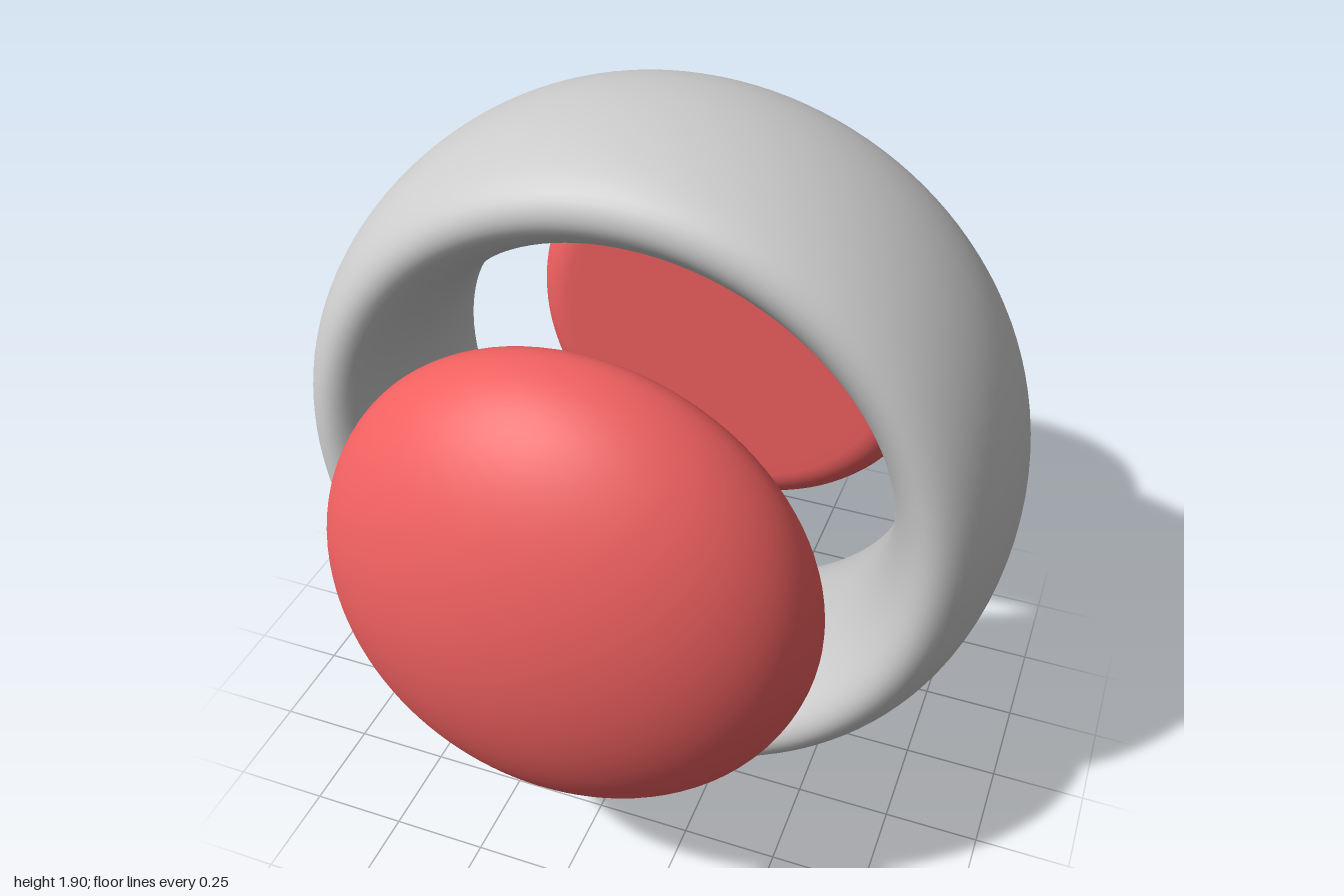
import * as THREE from 'three';

const RED = 0xf06060;
const CENTER_Y = 0.95;

// Domed button: flat inner face, rounded rim, elliptical dome towards +z
function domeGeometry() {
  const radius = 0.615, rim = 0.115, rimZ = 0.625, depth = 0.375;
  const pts = [new THREE.Vector2(0, rimZ - rim), new THREE.Vector2(0.25, rimZ - rim), new THREE.Vector2(0.46, rimZ - rim)];
  for (let i = 0; i <= 12; i++) {
    const a = -Math.PI / 2 + (i / 12) * (Math.PI / 2);
    pts.push(new THREE.Vector2(radius - rim + rim * Math.cos(a), rimZ + rim * Math.sin(a)));
  }
  for (let i = 1; i <= 32; i++) {
    const a = (i / 32) * (Math.PI / 2);
    pts.push(new THREE.Vector2(i === 32 ? 0 : radius * Math.cos(a), rimZ + depth * Math.sin(a)));
  }
  return new THREE.LatheGeometry(pts, 96).rotateX(Math.PI / 2);
}

export function createModel() {
  const model = new THREE.Group();
  model.name = 'ringWithDomes';

  // Wide ring: torus stretched along its axis into an elliptical section
  const ring = new THREE.Mesh(
    new THREE.TorusGeometry(0.8, 0.15, 64, 128).scale(1, 1, 0.365 / 0.15),
    new THREE.MeshStandardMaterial({ color: 0xcccccc })
  );
  ring.name = 'ring';
  ring.position.y = CENTER_Y;
  model.add(ring);

  // Matching domes floating in front of and behind the ring
  const dome = domeGeometry();
  const red = new THREE.MeshStandardMaterial({ color: RED });
  for (const [name, turn] of [['frontDome', 0], ['backDome', Math.PI]]) {
    const mesh = new THREE.Mesh(dome, red);
    mesh.name = name;
    mesh.position.y = CENTER_Y;
    mesh.rotation.y = turn;
    model.add(mesh);
  }
  return model;
}
